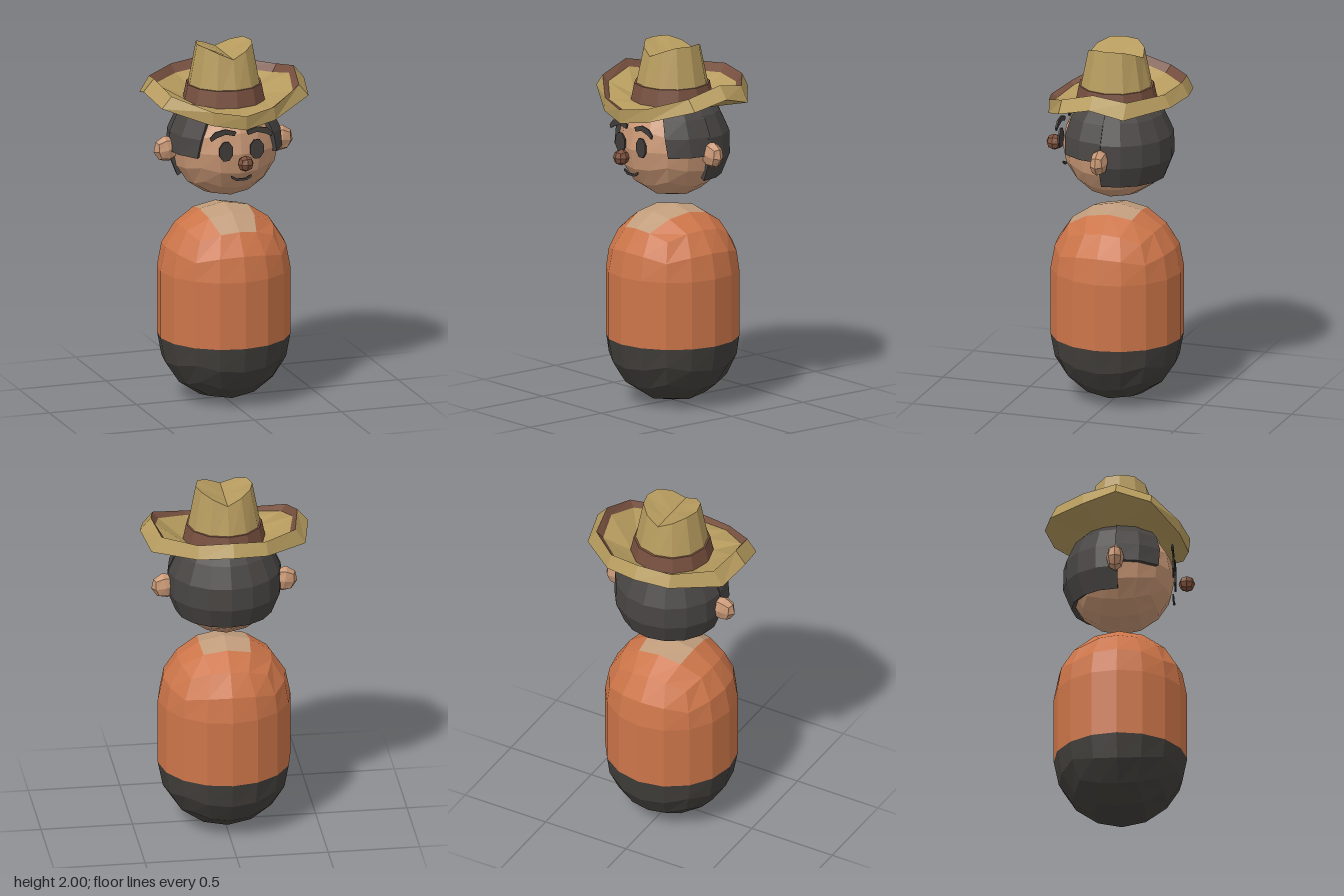
import * as THREE from 'three';

const paint = (name, color) => {
  const m = new THREE.MeshStandardMaterial({ color });
  m.name = name;
  return m;
};
const rad = THREE.MathUtils.degToRad;

export function createModel() {
  const group = new THREE.Group();
  group.name = 'figure';
  const orange = paint('orange shirt', 0xcc7549);
  const dark = paint('dark trousers', 0x43403c);
  const hair = paint('hair grey', 0x484543);
  const skin = paint('skin', 0xc89775);
  const neckSkin = paint('neck skin', 0xc19d7c);
  const noseBrown = paint('nose brown', 0x7d503c);
  const bandBrown = paint('band brown', 0x77503f);
  const straw = paint('straw', 0xb69b5e);
  const ink = paint('face ink', 0x403c3a);

  const add = (name, geo, mat, x = 0, y = 0, z = 0) => {
    const mesh = new THREE.Mesh(geo, mat);
    mesh.name = name;
    mesh.position.set(x, y, z);
    group.add(mesh);
    return mesh;
  };

  // Box moved vertex by vertex, faceted; keep() chooses triangles by their centre in the box
  const mapBox = (box, rule, keep = () => true) => {
    const src = box.toNonIndexed().attributes.position;
    const out = [];
    for (let i = 0; i < src.count; i += 3) {
      const tri = [0, 1, 2].map(j => new THREE.Vector3().fromBufferAttribute(src, i + j));
      const mid = new THREE.Vector3().add(tri[0]).add(tri[1]).add(tri[2]).divideScalar(3);
      if (keep(mid)) tri.forEach(v => out.push(...rule(v).toArray()));
    }
    const geo = new THREE.BufferGeometry();
    geo.setAttribute('position', new THREE.Float32BufferAttribute(out, 3));
    geo.computeVertexNormals();
    return geo;
  };
  const even = t => Math.tan(t * Math.PI / 4);
  const onSphere = v => new THREE.Vector3(even(v.x), even(v.y), even(v.z)).normalize();
  const ball = (n, rx, ry = rx, rz = rx) => mapBox(new THREE.BoxGeometry(2, 2, 2, n, n, n),
    v => onSphere(v).multiply(new THREE.Vector3(rx, ry, rz)));

  // Capsule body: a box ball with a straight row inserted at its equator
  const levels = [-1, -0.5, 0, 0, 0.5, 1];
  const capsule = v => {
    const row = Math.round((v.y + 1) * 2.5);
    const p = onSphere(new THREE.Vector3(v.x, levels[row], v.z)).multiplyScalar(0.362);
    p.y += row > 2 ? 0.74 : 0.367;
    return p;
  };
  const isDark = c => c.y < -0.21;
  const isNeck = c => c.y > 0.99 && Math.abs(c.x) < 0.5 && c.z > -0.5;
  const bodyBox = new THREE.BoxGeometry(2, 2, 2, 4, 5, 4);
  add('trousers', mapBox(bodyBox, capsule, isDark), dark);
  add('neckOpening', mapBox(bodyBox, capsule, isNeck), neckSkin);
  add('shirt', mapBox(bodyBox, capsule, c => !isDark(c) && !isNeck(c)), orange);

  // Head, nose and ears
  const headY = 1.443;
  add('head', ball(4, 0.295), skin, 0, headY, 0);
  add('nose', ball(2, 0.045), noseBrown, 0, 1.41, 0.36);
  for (const s of [-1, 1]) {
    const ear = add(s > 0 ? 'leftEar' : 'rightEar', ball(2, 0.075, 0.073, 0.048), skin, s * 0.325, 1.427, -0.01);
    ear.rotation.z = s * -0.2;
  }

  // Hair: thick curved shells, angles in degrees (0 faces the front)
  const shell = (a0, a1, lean, e0, e1, r, nu, nv) => mapBox(new THREE.BoxGeometry(1, 1, 1, nu, nv, 1), v => {
    const e = rad(e0 + (e1 - e0) * (v.y + 0.5));
    const start = a0 + lean[0] * (v.y + 0.5), end = a1 + lean[1] * (v.y + 0.5);
    const a = rad(start + (end - start) * (v.x + 0.5));
    const d = r - (0.5 - v.z) * 0.05;
    return new THREE.Vector3(Math.sin(a) * Math.cos(e), Math.sin(e), Math.cos(a) * Math.cos(e)).multiplyScalar(d);
  });
  add('backHair', shell(90, 270, [0, 0], -33, 82, 0.316, 8, 5), hair, 0, headY, 0);
  add('leftSideHair', shell(46, 92, [-10, 0], -4, 52, 0.318, 2, 3), hair, 0, headY, 0);
  add('rightSideHair', shell(-92, -46, [0, 10], -4, 52, 0.318, 2, 3), hair, 0, headY, 0);

  // Face details: thin plates
  const plate = (name, pts, z) => {
    const shape = new THREE.Shape(pts.map(p => new THREE.Vector2(...p)));
    add(name, new THREE.ExtrudeGeometry(shape, { depth: 0.009, bevelEnabled: false }), ink, 0, 0, z);
  };
  const brow = [[0.03, 1.573], [0.04, 1.55], [0.09, 1.563], [0.14, 1.548], [0.172, 1.53],
    [0.18, 1.55], [0.15, 1.58], [0.09, 1.592]];
  for (const s of [-1, 1]) {
    const side = s > 0 ? 'left' : 'right';
    const eye = [];
    for (let i = 0; i < 8; i++) {
      const a = (i + 0.5) * Math.PI / 4;
      eye.push([s * 0.088 + 0.042 * Math.cos(a), 1.467 + 0.057 * Math.sin(a)]);
    }
    plate(side + 'Eye', eye, 0.288);
    plate(side + 'Eyebrow', brow.map(([x, y]) => [s * x, y]), 0.285);
  }
  plate('mouth', [[-0.058, 1.325], [-0.055, 1.312], [-0.028, 1.297], [0.028, 1.297], [0.055, 1.312],
    [0.058, 1.325], [0.045, 1.322], [0.025, 1.309], [-0.025, 1.309], [-0.045, 1.322]], 0.285);

  // Hat: twelve-sided rings joined from underside to crown
  const mirrored = half => [...half, ...half.slice(1, 6).reverse().map(([x, y, z]) => [-x, y, z])];
  const circle = (r, height, z0 = 0.005) => Array.from({ length: 12 }, (_, k) => {
    const x = r * Math.sin(k * Math.PI / 6);
    return [x, typeof height === 'function' ? height(x) : height, z0 + r * Math.cos(k * Math.PI / 6)];
  });
  const loft = (...rings) => {
    const out = [];
    for (let i = 0; i + 1 < rings.length; i++) {
      for (let k = 0; k < 12; k++) {
        const n = (k + 1) % 12;
        const [a, b, c, d] = [rings[i][k], rings[i][n], rings[i + 1][n], rings[i + 1][k]];
        out.push(...a, ...b, ...c, ...a, ...c, ...d);
      }
    }
    const geo = new THREE.BufferGeometry();
    geo.setAttribute('position', new THREE.Float32BufferAttribute(out, 3));
    geo.computeVertexNormals();
    return geo;
  };
  const lip = mirrored([[0, 1.6, 0.37], [0.18, 1.63, 0.33], [0.42, 1.71, 0.19], [0.46, 1.76, 0],
    [0.42, 1.71, -0.18], [0.19, 1.735, -0.37], [0, 1.75, -0.41]]);
  const rim = mirrored([[0, 1.68, 0.378], [0.175, 1.705, 0.33], [0.365, 1.775, 0.19], [0.4, 1.83, 0],
    [0.365, 1.795, -0.18], [0.185, 1.805, -0.335], [0, 1.822, -0.37]]);
  const inner = mirrored([[0, 1.665, 0.34], [0.165, 1.69, 0.305], [0.335, 1.742, 0.175], [0.375, 1.79, 0],
    [0.335, 1.755, -0.16], [0.17, 1.76, -0.305], [0, 1.775, -0.335]]);
  const base = circle(0.215, 1.685);
  const top = circle(0.155, x => 1.94 + 0.06 * Math.min(1, Math.abs(x) / 0.135));
  const crease = top.map(([, , z]) => [0, 1.94, z]);
  add('brimUnderside', loft(circle(0.205, 1.665), lip, rim), straw);
  add('brimTrim', loft(rim, inner), bandBrown);
  add('brimTop', loft(inner, base), straw);
  add('crown', loft(base, top, crease), straw);
  add('hatBand', loft(circle(0.226, 1.685), circle(0.207, 1.778), circle(0.19, 1.778)), bandBrown);

  return group;
}
